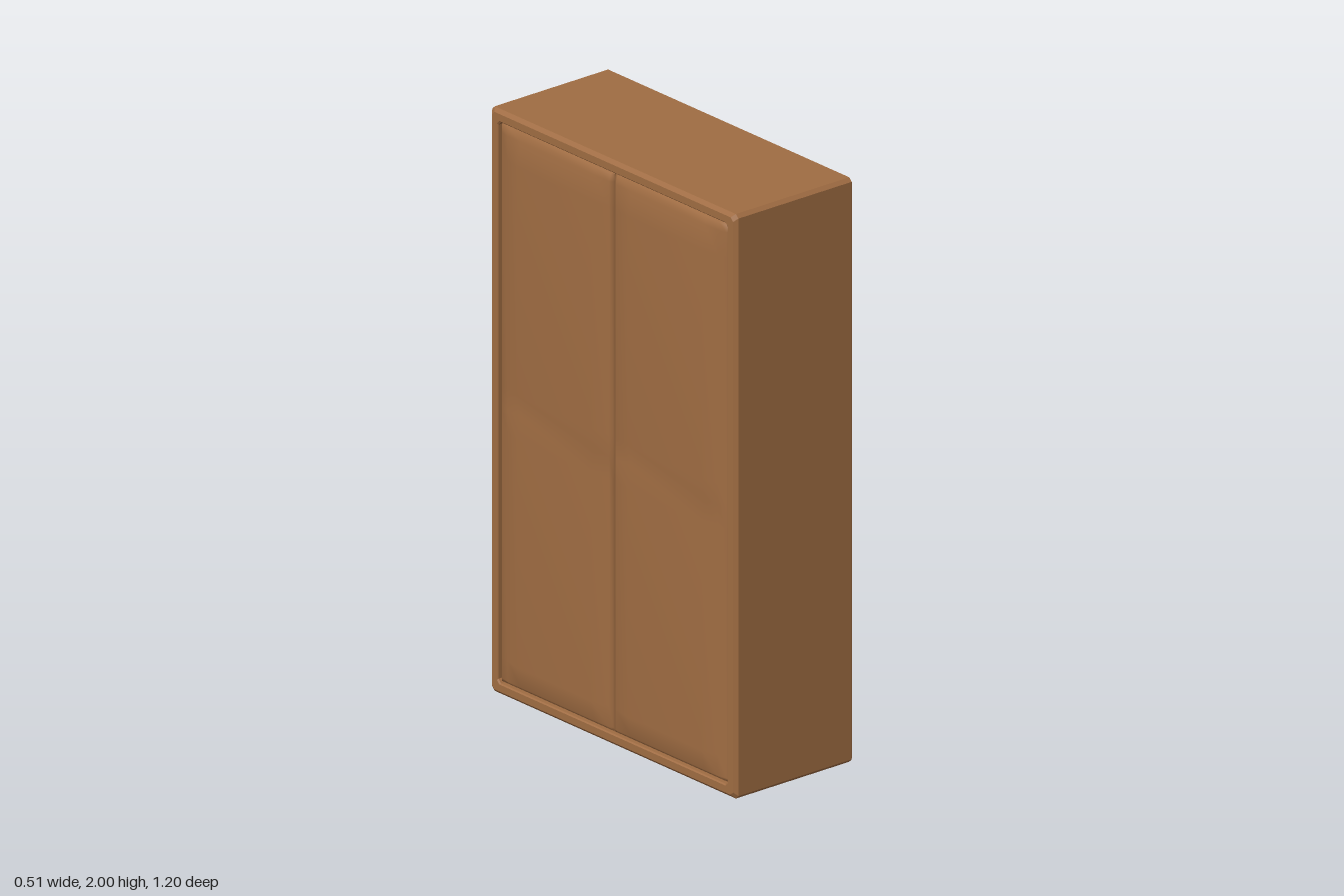
import * as THREE from 'three';

const wood = new THREE.MeshStandardMaterial({ color: 0x9f6c42 });
wood.name = 'brownWood';

function buildGeometry(positions, index) {
  const g = new THREE.BufferGeometry();
  g.setAttribute('position', new THREE.Float32BufferAttribute(positions, 3));
  g.setIndex(index);
  return g;
}

// Chamfered rectangle in the y-z plane, shrunk by an inset
function ring(x, inset, chamfer = 0.012) {
  const hy = 1 - inset, hz = 0.6 - inset, c = chamfer;
  return [
    [hy, -hz + c], [hy, hz - c], [hy - c, hz], [-hy + c, hz],
    [-hy, hz - c], [-hy, -hz + c], [-hy + c, -hz], [hy - c, -hz],
  ].map(([y, z]) => [x, y + 1, z]);
}

// Cabinet body: rings run from the plain side to the recess behind the doors
function bodyGeometry() {
  const sections = [
    [0.252, 0.012], [0.24, 0], [-0.231, 0], [-0.243, 0.012],
    [-0.243, 0.036], [-0.239, 0.04], [-0.225, 0.04],
  ];
  const positions = sections.flatMap(([x, inset]) => ring(x, inset).flat());
  const index = [];
  const last = (sections.length - 1) * 8;
  for (let s = 0; s < sections.length - 1; s++) {
    for (let j = 0; j < 8; j++) {
      const a = s * 8 + j, b = s * 8 + (j + 1) % 8;
      index.push(a, b + 8, b, a, a + 8, b + 8);
    }
  }
  for (let j = 1; j < 7; j++) {
    index.push(0, j, j + 1, last, last + j + 1, last + j);
  }
  const g = buildGeometry(positions, index).toNonIndexed();
  g.computeVertexNormals();
  return g;
}

// Door profiles: [position, distance out towards -x]
const acrossDoor = [
  [0.005, 0.225], [0.006, 0.235], [0.016, 0.243], [0.09, 0.257],
  [0.45, 0.257], [0.512, 0.243], [0.548, 0.236], [0.554, 0.225],
];
const upDoor = [
  [0.046, 0.225], [0.048, 0.235], [0.058, 0.243], [0.13, 0.257], [0.91, 0.257],
  [0.985, 0.243], [1.06, 0.257], [1.84, 0.257], [1.925, 0.243],
  [1.95, 0.236], [1.954, 0.225],
];

// Door with two softly raised panels, the lower of both profiles at each point
function doorGeometry(side) {
  const across = acrossDoor.map(([z, d]) => [z * side, d]).sort((a, b) => a[0] - b[0]);
  const positions = [], index = [], n = across.length;
  upDoor.forEach(([y, dy], i) => across.forEach(([z, dz], j) => {
    positions.push(-Math.min(dy, dz), y, z);
    if (i && j) {
      const d = i * n + j, c = d - 1, b = d - n, a = b - 1;
      index.push(a, b, c, b, d, c);
    }
  }));
  const g = buildGeometry(positions, index);
  g.computeVertexNormals();
  return g;
}

export function createModel() {
  const cabinet = new THREE.Group();
  cabinet.name = 'cabinet';
  const add = (name, geometry) => {
    const mesh = new THREE.Mesh(geometry, wood);
    mesh.name = name;
    cabinet.add(mesh);
  };
  add('cabinetBody', bodyGeometry());
  add('frontDoor', doorGeometry(1));
  add('backDoor', doorGeometry(-1));
  return cabinet;
}
